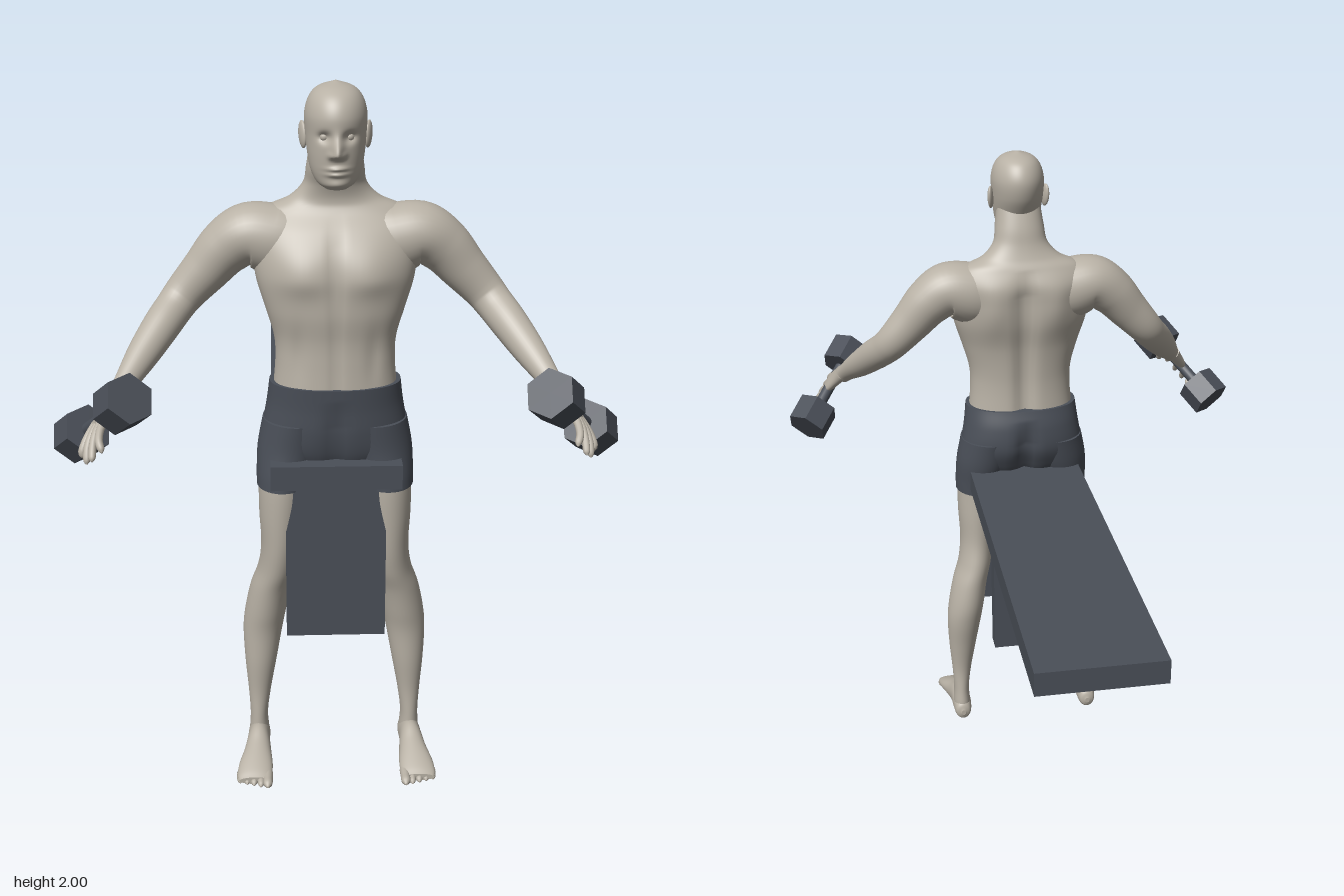
import * as THREE from 'three';

const V = (x, y, z) => new THREE.Vector3(x, y, z);
const bump = (d, width) => Math.exp(-((d / width) ** 2));
const clamp01 = t => Math.min(1, Math.max(0, t));

// Closed skin over cross-sections [x, y, z, radiusU, radiusV]; U follows ref, axis fixes the ring plane
function loft(sections, { ref, axis, rows = 40, sides = 32, n = 2, warp }) {
  const path = new THREE.CatmullRomCurve3(sections.map(s => V(s[0], s[1], s[2])), false, 'catmullrom');
  const radii = new THREE.CatmullRomCurve3(sections.map(s => V(s[3], s[4], 0)), false, 'catmullrom');
  const pos = [], idx = [];
  const power = c => Math.sign(c) * Math.abs(c) ** (2 / n);
  for (let i = 0; i <= rows; i++) {
    const c = path.getPoint(i / rows), r = radii.getPoint(i / rows);
    const t = axis || path.getTangent(i / rows);
    const u = ref.clone().addScaledVector(t, -ref.dot(t)).normalize();
    const v = u.clone().cross(t).normalize();
    for (let j = 0; j < sides; j++) {
      const a = (j / sides) * Math.PI * 2;
      const p = c.clone()
        .addScaledVector(u, Math.max(r.x, 0.001) * power(Math.cos(a)))
        .addScaledVector(v, Math.max(r.y, 0.001) * power(Math.sin(a)));
      if (warp) warp(p);
      pos.push(p.x, p.y, p.z);
      if (i < rows) {
        const k = i * sides + j, m = i * sides + (j + 1) % sides;
        idx.push(k, k + sides, m, m, k + sides, m + sides);
      }
    }
  }
  // End caps with their own ring, so the rim stays crisp
  for (const row of [0, rows]) {
    const base = pos.length / 3;
    for (let j = 0; j < sides; j++) {
      const k = (row * sides + j) * 3;
      pos.push(pos[k], pos[k + 1], pos[k + 2]);
      const m = base + (j + 1) % sides;
      idx.push(...(row ? [base + sides, m, base + j] : [base + sides, base + j, m]));
    }
    pos.push(...path.getPoint(row / rows).toArray());
  }
  const g = new THREE.BufferGeometry();
  g.setAttribute('position', new THREE.Float32BufferAttribute(pos, 3));
  g.setIndex(idx);
  g.computeVertexNormals();
  return g;
}

function mirrored(geometry) {
  const g = geometry.clone().scale(-1, 1, 1);
  if (!g.index) g.setIndex([...Array(g.attributes.position.count).keys()]);
  const a = g.index.array;
  for (let i = 0; i < a.length; i += 3) [a[i], a[i + 1]] = [a[i + 1], a[i]];
  return g;
}

export function createModel() {
  const model = new THREE.Group();
  const skin = new THREE.MeshStandardMaterial({ color: 0xb8b1a5 });
  skin.name = 'skin';
  const charcoal = new THREE.MeshStandardMaterial({ color: 0x4a4f58 });
  charcoal.name = 'charcoal';

  const add = (name, geometry, material) => {
    const mesh = new THREE.Mesh(geometry, material);
    mesh.name = name;
    model.add(mesh);
  };
  const addPair = (name, geometry, material) => {
    add('left' + name, geometry, material);
    add('right' + name, mirrored(geometry), material);
  };
  const X = V(1, 0, 0), UP = V(0, 1, 0), DOWN = V(0, -1, 0), Z = V(0, 0, 1);

  // Bench
  const box = (name, w, h, d, y, z) => add(name, new THREE.BoxGeometry(w, h, d).translate(0, y, z), charcoal);
  box('benchBoard', 0.36, 0.07, 1.44, 0.945, -0.15);
  box('benchFrontLeg', 0.28, 0.47, 0.06, 0.675, 0.5);
  box('benchBackLeg', 0.28, 0.47, 0.06, 0.675, 0.16);

  // Torso and neck, with chest, abdomen and spine modelled by bumps
  add('torso', loft([
    [0, 1.15, 0.443, 0.172, 0.108], [0, 1.25, 0.445, 0.163, 0.103], [0, 1.32, 0.445, 0.166, 0.104],
    [0, 1.4, 0.446, 0.188, 0.113], [0, 1.48, 0.437, 0.212, 0.12], [0, 1.55, 0.428, 0.22, 0.116],
    [0, 1.61, 0.412, 0.222, 0.102], [0, 1.66, 0.402, 0.185, 0.072], [0, 1.69, 0.405, 0.122, 0.06],
    [0, 1.73, 0.417, 0.085, 0.058], [0, 1.78, 0.435, 0.076, 0.064], [0, 1.85, 0.45, 0.066, 0.055],
  ], {
    ref: X, axis: UP, rows: 80, sides: 80, n: 2.25,
    warp: p => {
      const x = Math.abs(p.x), torso = clamp01((1.66 - p.y) / 0.08);
      if (p.z > 0.46) {
        p.z += 0.018 * bump(x - 0.09, 0.075) * bump(p.y - 1.5, p.y > 1.5 ? 0.08 : 0.045);
        p.z -= torso * 0.007 * bump(x, 0.014);
        p.z -= 0.006 * bump(x - 0.1, 0.02) * bump(p.y - 1.28, 0.08);
      } else if (p.z < 0.4) {
        p.z += torso * 0.02 * bump(x, 0.028);
        p.z -= 0.014 * bump(x - 0.1, 0.05) * bump(p.y - 1.54, 0.08);
      }
    },
  }), skin);

  // Head with nose, eye sockets, lips and chin
  add('head', loft([
    [0, 1.735, 0.515, 0.028, 0.03], [0, 1.75, 0.505, 0.05, 0.052], [0, 1.78, 0.49, 0.066, 0.076],
    [0, 1.82, 0.48, 0.074, 0.092], [0, 1.87, 0.468, 0.079, 0.107], [0, 1.92, 0.465, 0.081, 0.113],
    [0, 1.96, 0.463, 0.07, 0.097], [0, 1.985, 0.46, 0.047, 0.065], [0, 2.0, 0.458, 0.004, 0.006],
  ], {
    ref: X, axis: UP, rows: 90, sides: 96,
    warp: p => {
      const x = Math.abs(p.x), y = p.y;
      p.z += clamp01((p.z - 0.5) / 0.04) * (
        0.036 * bump(x, 0.014) * bump(y - 1.832, y > 1.832 ? 0.034 : 0.011)
        + 0.008 * bump(x - 0.016, 0.008) * bump(y - 1.828, 0.009)
        - 0.016 * bump(x - 0.032, 0.016) * bump(y - 1.872, 0.013)
        + 0.009 * bump(x, 0.024) * (bump(y - 1.793, 0.006) + bump(y - 1.778, 0.006))
        + 0.007 * bump(x, 0.03) * bump(y - 1.75, 0.012));
    },
  }), skin);
  addPair('Eye', new THREE.SphereGeometry(0.012, 16, 12).translate(0.032, 1.872, 0.545), skin);
  addPair('Ear', new THREE.SphereGeometry(1, 20, 16).scale(0.009, 0.036, 0.021)
    .rotateX(-0.2).rotateY(-0.35).translate(0.085, 1.863, 0.455), skin);

  // Shorts
  add('shorts', loft([
    [0, 1.192, 0.443, 0.18, 0.113], [0, 1.13, 0.432, 0.188, 0.119], [0, 1.06, 0.429, 0.2, 0.118],
    [0, 1.0, 0.435, 0.207, 0.1], [0, 0.95, 0.44, 0.16, 0.075],
  ], {
    ref: X, axis: DOWN, sides: 64, n: 2.25,
    warp: p => {
      const low = clamp01((1.16 - p.y) / 0.08);
      p.z += low * bump(p.x, 0.025) * (p.z < 0.4 ? 0.028 : p.z > 0.48 ? -0.012 : 0);
    },
  }), charcoal);
  addPair('ShortsLeg', loft([
    [0.105, 1.08, 0.43, 0.095, 0.11], [0.122, 1.0, 0.435, 0.093, 0.1],
    [0.14, 0.93, 0.447, 0.079, 0.092], [0.146, 0.887, 0.452, 0.073, 0.089],
  ], { ref: X, axis: DOWN, rows: 20 }), charcoal);

  // Legs and feet
  addPair('Leg', loft([
    [0.14, 0.97, 0.447, 0.07, 0.085], [0.145, 0.89, 0.452, 0.069, 0.085], [0.15, 0.8, 0.45, 0.064, 0.084],
    [0.155, 0.7, 0.445, 0.055, 0.08], [0.165, 0.62, 0.43, 0.055, 0.08], [0.185, 0.55, 0.415, 0.058, 0.076],
    [0.2, 0.47, 0.405, 0.06, 0.071], [0.21, 0.4, 0.403, 0.057, 0.061], [0.217, 0.3, 0.411, 0.046, 0.048],
    [0.222, 0.2, 0.414, 0.033, 0.036], [0.225, 0.12, 0.413, 0.026, 0.038], [0.225, 0.06, 0.41, 0.029, 0.042],
    [0.225, 0.02, 0.41, 0.026, 0.038],
  ], { ref: X, axis: DOWN, rows: 70 }), skin);
  addPair('Foot', loft([
    [0.225, 0.035, 0.36, 0.008, 0.01], [0.225, 0.038, 0.372, 0.026, 0.032], [0.225, 0.045, 0.41, 0.032, 0.044],
    [0.227, 0.05, 0.46, 0.033, 0.049], [0.23, 0.04, 0.51, 0.04, 0.039], [0.235, 0.03, 0.56, 0.049, 0.029],
    [0.238, 0.021, 0.6, 0.05, 0.02], [0.239, 0.017, 0.622, 0.044, 0.011],
  ], { ref: X, axis: Z }), skin);

  // Fingers and toes: round-ended digits through a few points
  const digit = (points, r, ref) => loft([
    ...points.map((p, i) => [p.x, p.y, p.z, r * (1 - 0.07 * i), r * (1 - 0.07 * i)]),
    (() => {
      const [a, b] = points.slice(-2), e = b.clone().addScaledVector(b.clone().sub(a).normalize(), r);
      return [e.x, e.y, e.z, r * 0.2, r * 0.2];
    })(),
  ], { ref, rows: 16, sides: 12 });
  for (let i = 0; i < 5; i++) {
    const r = i ? 0.0105 : 0.015, x = 0.2 + 0.02 * i, end = 0.638 - 0.007 * i;
    addPair('Toe' + (i + 1), digit([V(x, 0.02, 0.59), V(x, 0.018, end - 0.02), V(x, r + 0.001, end)], r, X), skin);
  }

  // Arms from inside the shoulder to the wrist
  addPair('Arm', loft([
    [0.08, 1.56, 0.415, 0.08, 0.095], [0.16, 1.575, 0.413, 0.092, 0.097], [0.23, 1.59, 0.412, 0.089, 0.084],
    [0.29, 1.555, 0.41, 0.076, 0.075], [0.345, 1.495, 0.412, 0.062, 0.065], [0.4, 1.435, 0.418, 0.053, 0.056],
    [0.43, 1.4, 0.44, 0.049, 0.052], [0.465, 1.36, 0.49, 0.048, 0.05], [0.51, 1.305, 0.56, 0.039, 0.043],
    [0.55, 1.255, 0.63, 0.027, 0.031], [0.565, 1.235, 0.655, 0.025, 0.028],
  ], { ref: Z, rows: 70 }), skin);

  // Hands: reach runs along the fingers, grip along the dumbbell, back out of the hand's back
  const wrist = V(0.558, 1.242, 0.645);
  const reach = V(0.4, -0.58, 0.71).normalize(), grip = V(0.51, -0.57, -0.65).normalize();
  const back = reach.clone().cross(grip).normalize();
  const at = (a, b, c) => wrist.clone().addScaledVector(reach, a).addScaledVector(grip, b).addScaledVector(back, c);
  const palm = [[0, 0.026, 0.024], [0.04, 0.036, 0.021], [0.08, 0.044, 0.019], [0.115, 0.042, 0.014], [0.125, 0.03, 0.008]];
  addPair('Palm', loft(palm.map(([a, u, v]) => [...at(a, 0, 0.008).toArray(), u, v]), { ref: grip, rows: 20 }), skin);
  for (let i = 0; i < 4; i++) {
    const b = (i - 1.5) * 0.022, len = [0.215, 0.228, 0.222, 0.195][i];
    addPair('Finger' + (i + 1), digit(
      [at(0.1, b, 0.008), at(0.15, b * 1.3, 0.008), at(0.185, b * 1.6, 0), at(len - 0.01, b * 1.8, -0.014)], 0.0115, grip), skin);
  }
  addPair('Thumb', digit([at(0.025, -0.015, 0), at(0.06, -0.045, -0.01), at(0.1, -0.058, -0.024), at(0.12, -0.058, -0.032)], 0.014, back), skin);

  // Hexagonal dumbbells
  const centre = V(0.61, 1.178, 0.702);
  const turn = new THREE.Quaternion().setFromUnitVectors(UP, grip);
  const bar = (name, r, length, sides, offset) => {
    let g = new THREE.CylinderGeometry(r, r, length, sides);
    if (sides === 6) { g = g.toNonIndexed(); g.computeVertexNormals(); }
    g.translate(0, offset, 0).applyQuaternion(turn).translate(centre.x, centre.y, centre.z);
    addPair(name, g, charcoal);
  };
  bar('DumbbellHandle', 0.018, 0.2, 20, 0);
  bar('DumbbellUpperHead', 0.068, 0.09, 6, -0.128);
  bar('DumbbellLowerHead', 0.068, 0.09, 6, 0.128);

  return model;
}
